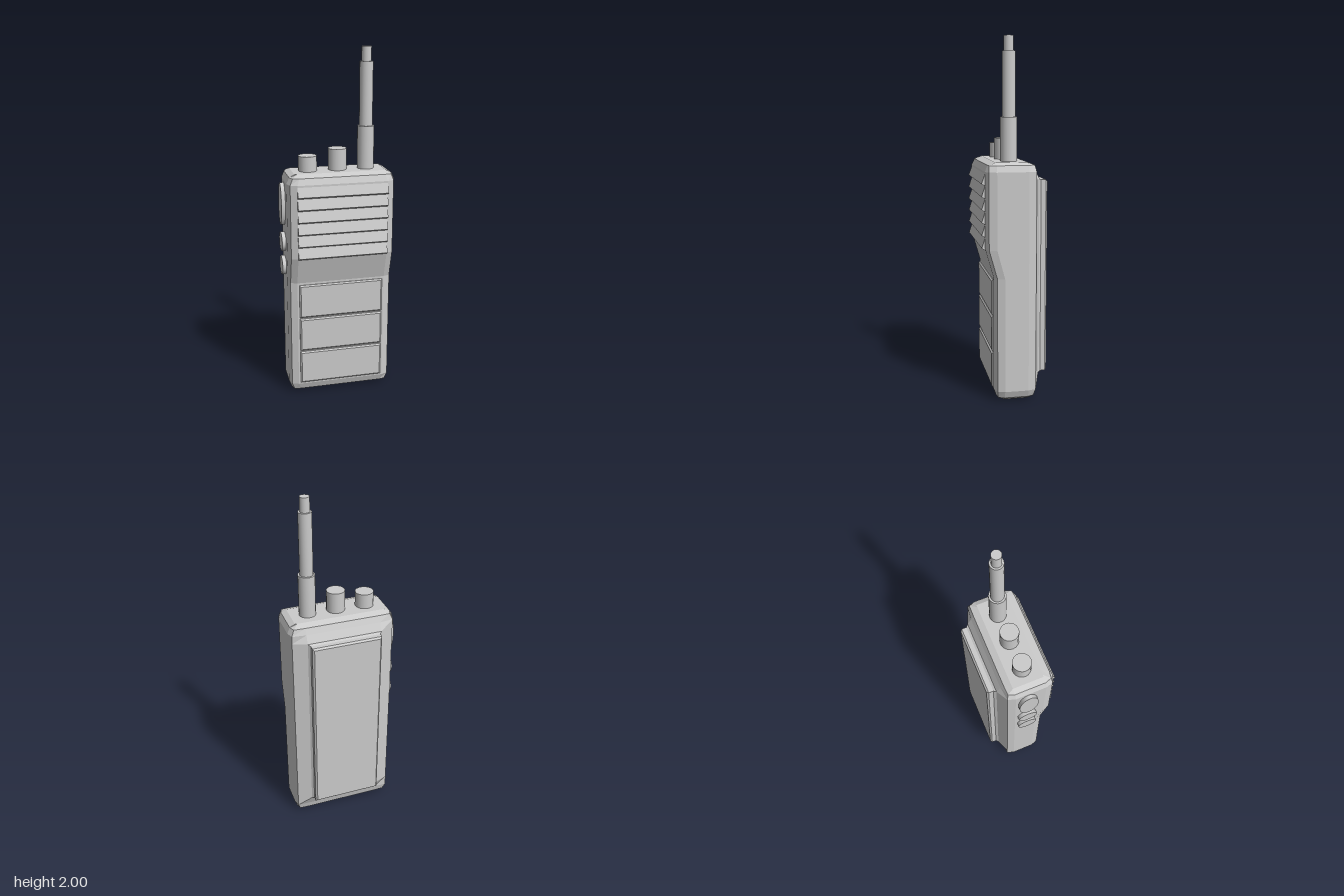
import * as THREE from 'three';

const CX = 0.01; // centre line of the body
const material = new THREE.MeshStandardMaterial({ color: 0xcccccc });
const flatMaterial = new THREE.MeshStandardMaterial({ color: 0xcccccc, flatShading: true });

// Skins a list of rings (counter-clockwise about the direction of advance) and caps both ends
function loft(rings) {
  const pos = [];
  const tri = (a, b, c) => pos.push(...a, ...b, ...c);
  const n = rings[0].length;
  for (let i = 0; i < rings.length - 1; i++) {
    for (let j = 0; j < n; j++) {
      const k = (j + 1) % n;
      tri(rings[i][j], rings[i][k], rings[i + 1][k]);
      tri(rings[i][j], rings[i + 1][k], rings[i + 1][j]);
    }
  }
  const first = rings[0], last = rings[rings.length - 1];
  for (let j = 1; j < n - 1; j++) {
    tri(first[0], first[j + 1], first[j]);
    tri(last[0], last[j], last[j + 1]);
  }
  const geometry = new THREE.BufferGeometry();
  geometry.setAttribute('position', new THREE.Float32BufferAttribute(pos, 3));
  geometry.computeVertexNormals();
  return geometry;
}

// Stacks rectangles [halfWidth, halfHeight, z] towards +z
function plate(steps) {
  return loft(steps.map(([w, h, z]) => [[-w, -h, z], [w, -h, z], [w, h, z], [-w, h, z]]));
}

// Horizontal section of the body
function bodyRing([y, hw, faceF, cornerF, sideF, sideB, cornerB, faceB]) {
  const half = [
    [hw - 0.05, faceF], [hw - 0.013, cornerF], [hw, sideF],
    [hw, sideB], [hw - 0.013, cornerB], [Math.min(hw - 0.05, 0.213), faceB],
  ];
  const mirrored = half.map(([x, z]) => [-x, z]).reverse();
  return [...half, ...mirrored].map(([x, z]) => [x + CX, y, z]);
}

export function createModel() {
  const group = new THREE.Group();
  const add = (name, geometry, x, y, z, mat = material) => {
    const mesh = new THREE.Mesh(geometry, mat);
    mesh.name = name;
    mesh.position.set(x, y, z);
    group.add(mesh);
    return mesh;
  };

  // Bevelled case with a thicker upper half
  add('body', loft([
    [0.00, 0.260, 0.070, 0.070, 0.070, -0.065, -0.065, -0.065],
    [0.02, 0.290, 0.107, 0.102, 0.068, -0.065, -0.098, -0.100],
    [0.06, 0.305, 0.122, 0.107, 0.067, -0.065, -0.108, -0.110],
    [0.125, 0.305, 0.122, 0.107, 0.067, -0.065, -0.108, -0.140],
    [0.70, 0.305, 0.122, 0.107, 0.067, -0.065, -0.108, -0.140],
    [0.86, 0.305, 0.168, 0.152, 0.110, -0.065, -0.108, -0.140],
    [1.235, 0.305, 0.168, 0.152, 0.110, -0.065, -0.108, -0.140],
    [1.28, 0.305, 0.168, 0.152, 0.110, -0.065, -0.108, -0.117],
    [1.315, 0.290, 0.153, 0.148, 0.110, -0.065, -0.100, -0.102],
    [1.33, 0.260, 0.110, 0.110, 0.110, -0.065, -0.065, -0.065],
  ].map(bodyRing)), 0, 0, 0, flatMaterial);

  // Speaker louvres: a sawtooth profile swept across the front
  const pitch = 0.07, top = 1.275;
  const profile = [[0.14, top], [0.166, top]];
  for (let i = 1; i <= 6; i++) {
    const y = top - i * pitch;
    profile.push([0.187, y + 0.011], [0.168, y]);
  }
  profile.push([0.14, top - 6 * pitch]);
  const louvres = new THREE.ExtrudeGeometry(
    new THREE.Shape(profile.map(([z, y]) => new THREE.Vector2(z, y))),
    { depth: 0.51, bevelEnabled: false });
  louvres.rotateY(-Math.PI / 2);
  add('speakerLouvres', louvres, CX + 0.255, 0, 0, flatMaterial);

  // Three raised front panels
  for (let i = 0; i < 3; i++) {
    add('frontPanel' + (i + 1),
      plate([[0.244, 0.1, 0], [0.244, 0.1, 0.018], [0.236, 0.092, 0.025]]),
      CX, 0.17 + i * 0.208, 0.107, flatMaterial);
  }

  // Battery pack with flared foot and chamfered rim
  const battery = plate([
    [0.213, 0.555, 0.13], [0.213, 0.555, 0.14], [0.201, 0.548, 0.153],
    [0.201, 0.548, 0.18], [0.191, 0.538, 0.19],
  ]);
  battery.rotateY(Math.PI);
  add('batteryPack', battery, CX, 0.68, 0, flatMaterial);

  // Knobs and stepped antenna
  const post = (name, x, r, y0, y1) =>
    add(name, new THREE.CylinderGeometry(r, r, y1 - y0, 20), x, (y0 + y1) / 2, 0.022);
  post('channelKnob', -0.16, 0.052, 1.31, 1.415);
  post('volumeKnob', 0.009, 0.052, 1.31, 1.45);
  post('antennaBase', 0.173, 0.047, 1.31, 1.57);
  post('antennaShaft', 0.173, 0.037, 1.57, 1.92);
  post('antennaTip', 0.173, 0.027, 1.92, 2.0);

  // Oval talk button and two round buttons on the right side
  const sideButton = (name, y, halfHeight) => {
    const geometry = new THREE.CylinderGeometry(1, 1, 0.04, 28);
    geometry.rotateZ(Math.PI / 2);
    geometry.scale(1, halfHeight, 0.056);
    add(name, geometry, -0.297, y, 0.006);
  };
  sideButton('talkButton', 1.143, 0.123);
  sideButton('upperSideButton', 0.92, 0.055);
  sideButton('lowerSideButton', 0.777, 0.055);

  return group;
}
